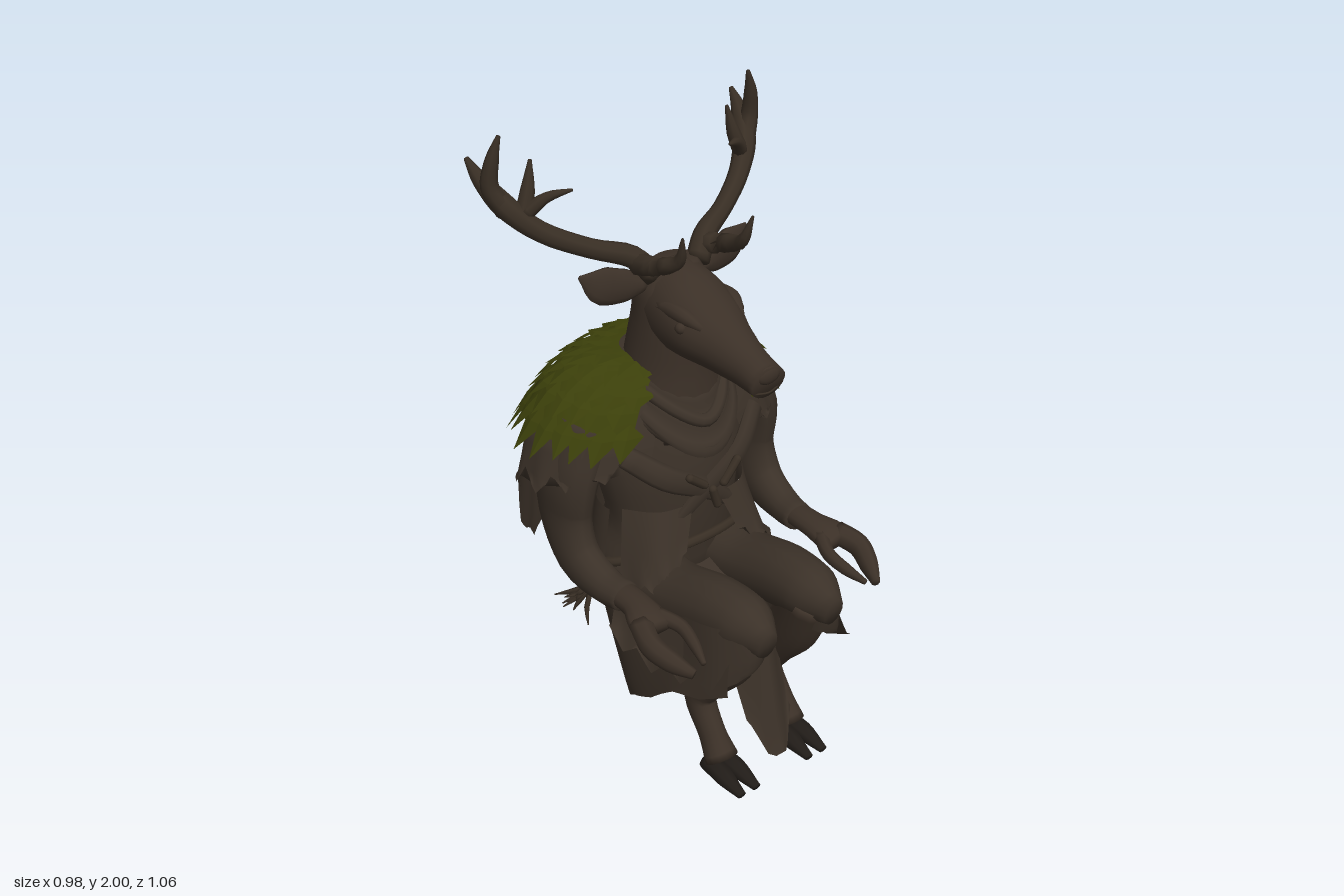
import * as THREE from 'three';
import { mergeVertices, mergeGeometries } from 'three/addons/utils/BufferGeometryUtils.js';

const mat = (name, color) => {
  const m = new THREE.MeshStandardMaterial({ color, side: THREE.DoubleSide });
  m.name = name;
  return m;
};
const V = (x, y, z) => new THREE.Vector3(x, y, z);
const lerp = THREE.MathUtils.lerp;
const spline = (pts) => new THREE.CatmullRomCurve3(pts.map((p) => V(...p)));
let seed = 7;
const rnd = () => (seed = (seed * 16807) % 2147483647) / 2147483647;
// triangle wave 0..1 for ragged hems
const zig = (u, n) => Math.abs(((u * n) % 1) * 2 - 1);

// surface from a function of (u, v)
function grid(nu, nv, fn) {
  const pos = [], idx = [];
  for (let j = 0; j <= nv; j++)
    for (let i = 0; i <= nu; i++) pos.push(...fn(i / nu, j / nv).toArray());
  for (let j = 0; j < nv; j++)
    for (let i = 0; i < nu; i++) {
      const a = j * (nu + 1) + i, b = a + nu + 1;
      idx.push(a, a + 1, b, a + 1, b + 1, b);
    }
  const g = new THREE.BufferGeometry();
  g.setAttribute('position', new THREE.Float32BufferAttribute(pos, 3));
  g.setIndex(idx);
  const m = mergeVertices(g, 1e-5);
  m.computeVertexNormals();
  return m;
}

// closed organic form through sections [x, y, z, radiusA, radiusB]
function limb(sections, s = 1, ref = V(1, 0, 0), sides = 14, steps = 4) {
  const path = spline(sections.map((p) => [p[0] * s, p[1], p[2]]));
  const rad = spline(sections.map((p) => [p[3], p[4] ?? p[3], 0]));
  const n = (sections.length - 1) * steps;
  return grid(sides, n + 2, (u, v) => {
    const k = Math.round(v * (n + 2));
    const t = THREE.MathUtils.clamp((k - 1) / n, 0, 1);
    const open = k === 0 || k === n + 2 ? 0 : 1;
    const d = path.getTangent(t), r = rad.getPoint(t);
    const a = ref.clone().addScaledVector(d, -ref.dot(d)).normalize();
    const b = d.clone().cross(a);
    const th = u * Math.PI * 2;
    return path.getPoint(t)
      .addScaledVector(a, Math.cos(th) * r.x * open)
      .addScaledVector(b, Math.sin(th) * r.y * open);
  });
}

// ruled cloth between two curves, with sag and a ragged lower edge
function cloth(top, bottom, nu, nv, teeth, depth, bulge = V(0, 0, 0)) {
  const A = spline(top), B = spline(bottom);
  return grid(nu, nv, (u, v) => {
    const p = A.getPoint(u).lerp(B.getPoint(u), v);
    p.addScaledVector(bulge, Math.sin(v * Math.PI));
    if (v === 1) p.y += zig(u, teeth) * depth;
    return p;
  });
}

// shoulder surface: a = angle from the back, t = neck (0) to hem (1)
const soft = (x) => Math.sign(x) * Math.abs(x) ** 0.9;
function mantle(a, t, out = 0) {
  const rx = 0.12 + 0.305 * t + out, rz = 0.1 + 0.15 * t + out, c = soft(Math.cos(a));
  const droop = Math.max(0, -c) * 0.16 * t * (1.15 - t);
  return V(soft(Math.sin(a)) * rx, 1.29 - 0.2 * t ** 2.8 - droop + out * 0.6, lerp(-0.15, -0.21, t) - c * rz);
}

export function createModel() {
  const fur = mat('brown fur', 0x3b3027);
  const wool = mat('brown cloth', 0x3b3128);
  const leaf = mat('moss green', 0x3b3f0a);
  const horn = mat('antler brown', 0x382e24);
  const dark = mat('dark hoof', 0x211c18);
  const root = new THREE.Group();
  root.name = 'seatedStagFigure';
  const add = (name, geo, m) => {
    const mesh = new THREE.Mesh(geo, m);
    mesh.name = name;
    root.add(mesh);
  };
  const Z = V(0, 0, 1);

  // head and neck
  add('neck', limb([[0, 1.05, -0.1, 0.19, 0.16], [0, 1.25, -0.1, 0.14, 0.15], [0, 1.4, -0.085, 0.122, 0.135], [0, 1.51, -0.085, 0.115, 0.11], [0, 1.585, -0.08, 0.075, 0.055]], 1, V(1, 0, 0), 18), fur);
  add('head', limb([[0, 1.49, -0.17, 0.06, 0.05], [0, 1.475, -0.11, 0.11, 0.125], [0, 1.45, -0.02, 0.122, 0.132],
    [0, 1.425, 0.08, 0.118, 0.108], [0, 1.4, 0.17, 0.085, 0.085], [0, 1.375, 0.27, 0.062, 0.062], [0, 1.36, 0.345, 0.06, 0.05]], 1, V(1, 0, 0), 18), fur);
  add('nose', new THREE.SphereGeometry(0.035, 12, 8).scale(1.2, 0.8, 0.4).translate(0, 1.385, 0.345), fur);
  add('mouth', limb([[-0.05, 1.335, 0.335, 0.003], [0, 1.33, 0.347, 0.003], [0.05, 1.335, 0.335, 0.003]], 1, Z, 6), horn);

  // antler branches: beam, upper tips and brow tine
  const antler = [
    [[0.08, 1.56, -0.07, 0.036], [0.13, 1.62, -0.1, 0.034], [0.24, 1.66, -0.15, 0.029], [0.36, 1.72, -0.22, 0.031], [0.43, 1.79, -0.28, 0.036], [0.465, 1.86, -0.35, 0.024], [0.475, 1.91, -0.4, 0.007]],
    [[0.43, 1.78, -0.28, 0.032], [0.465, 1.85, -0.3, 0.027], [0.46, 1.93, -0.29, 0.02], [0.44, 2.0, -0.28, 0.006]],
    [[0.4, 1.75, -0.25, 0.026], [0.37, 1.83, -0.26, 0.021], [0.35, 1.915, -0.27, 0.005]],
    [[0.39, 1.77, -0.25, 0.024], [0.34, 1.82, -0.21, 0.016], [0.28, 1.84, -0.17, 0.004]],
    [[0.12, 1.6, -0.09, 0.034], [0.13, 1.63, 0.01, 0.028], [0.115, 1.67, 0.09, 0.019], [0.125, 1.75, 0.12, 0.004]],
  ];
  for (const s of [1, -1]) {
    const side = s > 0 ? 'left' : 'right';
    add(side + 'Antler', mergeGeometries(antler.map((b) => limb(b, s, V(0.1, 0.3, 0.95).normalize(), 8))), horn);
    add(side + 'Ear', limb([[0.1, 1.53, -0.09, 0.02, 0.02], [0.16, 1.54, -0.1, 0.025, 0.05], [0.23, 1.555, -0.11, 0.02, 0.058], [0.305, 1.6, -0.12, 0.003, 0.005]], s, Z, 10), fur);
    add(side + 'Eyelid', new THREE.SphereGeometry(0.018, 10, 8).translate(s * 0.105, 1.46, 0.085), fur);
    add(side + 'Brow', limb([[0.095, 1.49, -0.02, 0.02], [0.092, 1.493, 0.07, 0.024], [0.07, 1.465, 0.14, 0.012]], s, V(1, 0, 0), 10), fur);

    // arm and hand
    add(side + 'Sleeve', limb([[0.28, 1.12, -0.14, 0.1, 0.11], [0.35, 0.97, -0.15, 0.075, 0.12], [0.36, 0.82, -0.16, 0.062, 0.115], [0.365, 0.7, -0.09, 0.06, 0.09],
      [0.355, 0.655, 0.04, 0.055, 0.055], [0.345, 0.655, 0.12, 0.05, 0.046]], s), wool);
    add(side + 'Palm', limb([[0.348, 0.66, 0.08, 0.045, 0.035], [0.348, 0.66, 0.18, 0.048, 0.035], [0.36, 0.65, 0.25, 0.064, 0.034], [0.365, 0.64, 0.29, 0.06, 0.022]], s), fur);
    add(side + 'Fingers', limb([[0.385, 0.65, 0.25, 0.04, 0.034], [0.41, 0.63, 0.33, 0.034, 0.038], [0.39, 0.605, 0.4, 0.03, 0.034], [0.36, 0.585, 0.465, 0.014, 0.016]], s, V(1, 0, 0), 8), fur);
    add(side + 'Thumb', limb([[0.33, 0.655, 0.24, 0.026, 0.026], [0.293, 0.64, 0.32, 0.021, 0.022], [0.3, 0.62, 0.39, 0.018, 0.02], [0.32, 0.6, 0.46, 0.008, 0.009]], s, V(1, 0, 0), 8), fur);

    // leg
    add(side + 'Thigh', limb([[0.14, 0.57, -0.15, 0.13, 0.12], [0.14, 0.575, 0.1, 0.105, 0.095], [0.135, 0.62, 0.3, 0.098, 0.1], [0.13, 0.63, 0.42, 0.09, 0.092], [0.13, 0.61, 0.52, 0.035, 0.05]], s), wool);
    add(side + 'KneeCuff', cloth([[s * 0.05, 0.66, 0.42], [s * 0.11, 0.67, 0.5], [s * 0.17, 0.66, 0.49], [s * 0.228, 0.64, 0.38], [s * 0.235, 0.6, 0.2]],
      [[s * 0.06, 0.5, 0.4], [s * 0.11, 0.52, 0.48], [s * 0.18, 0.46, 0.48], [s * 0.25, 0.43, 0.4], [s * 0.265, 0.42, 0.2]], 16, 4, 2, 0.03, V(0, 0, 0.01)), wool);
    add(side + 'LowerLeg', limb([[0.125, 0.63, 0.42, 0.08, 0.09], [0.13, 0.47, 0.35, 0.07, 0.09], [0.13, 0.34, 0.255, 0.056, 0.078], [0.135, 0.235, 0.215, 0.047, 0.06],
      [0.14, 0.13, 0.28, 0.042, 0.048], [0.14, 0.055, 0.33, 0.055, 0.052]], s), fur);
    // cloven hoof
    for (const k of [-1, 1])
      add(side + 'Hoof', limb([[0.14 + k * 0.022, 0.03, 0.29, 0.034, 0.03], [0.14 + k * 0.028, 0.028, 0.37, 0.033, 0.028], [0.14 + k * 0.03, 0.013, 0.465, 0.016, 0.011]], s, V(1, 0, 0), 8), dark);

    // twig bundle at the hip
    const twigs = [];
    for (let i = 0; i < 10; i++) {
      const z = -0.19 + (rnd() - 0.5) * 0.2, y = 0.46 + (rnd() - 0.5) * 0.12;
      twigs.push(limb([[0.27, 0.51, -0.16, 0.01], [0.31, (0.49 + y) / 2, (z - 0.17) / 2, 0.009], [0.31 + rnd() * 0.05, y, z, 0.002]], s, V(1, 0, 0), 5, 2));
    }
    add(side + 'Twigs', mergeGeometries(twigs), horn);
    // crossed robe lapel
    add(side + 'Lapel', limb([[0.25, 1.05, 0.0, 0.02, 0.035], [0.14, 0.96, 0.062, 0.016, 0.04], [0, 0.88, 0.075, 0.012, 0.035], [-0.12, 0.78, 0.06, 0.01, 0.02]], s, Z, 8), wool);
    // robe front parted over the lap
    add(side + 'RobeFront', cloth([[s * 0.05, 0.84, 0.07], [s * 0.16, 0.84, 0.045], [s * 0.235, 0.84, -0.04]], [[s * 0.12, 0.66, 0.12], [s * 0.23, 0.6, 0.12], [s * 0.28, 0.56, 0.0]], 12, 4, 3, 0.05), wool);
    // side tatters under the lap
    add(side + 'Tatter', cloth([[s * 0.28, 0.56, -0.02], [s * 0.27, 0.57, 0.12], [s * 0.235, 0.57, 0.3]], [[s * 0.34, 0.43, 0.02], [s * 0.3, 0.38, 0.18], [s * 0.255, 0.4, 0.34]], 12, 3, 3, 0.06), wool);
  }

  // robe body
  add('torso', limb([[0, 0.48, -0.15, 0.24, 0.15], [0, 0.62, -0.14, 0.25, 0.175], [0, 0.76, -0.105, 0.225, 0.16], [0, 0.92, -0.11, 0.255, 0.17], [0, 1.08, -0.12, 0.27, 0.15], [0, 1.2, -0.13, 0.16, 0.11]], 1, V(1, 0, 0), 24), wool);
  add('tunicBack', grid(40, 4, (u, v) => {
    const a = lerp(-1.7, 1.7, u), r = 1 + v * 0.14;
    return V(Math.sin(a) * 0.25 * r, 0.82 - v * 0.22 + (v === 1 ? zig(u, 10) * 0.05 : 0), -0.11 - Math.cos(a) * 0.185 * r);
  }), wool);
  add('belt', new THREE.TorusGeometry(0.28, 0.016, 8, 40).rotateX(Math.PI / 2).scale(1, 1, 0.7).rotateX(-0.35).translate(0, 0.62, -0.13), horn);

  // draped cowl with soft folds
  add('cowl', grid(40, 8, (u, v) => {
    const a = u * Math.PI * 2, front = Math.max(0, -Math.cos(a)) ** 1.6;
    const r = 0.13 + 0.07 * v + 0.008 * Math.sin(v * 17);
    return V(Math.sin(a) * r, 1.27 - 0.09 * v - front * (0.07 + 0.1 * v), -0.1 - Math.cos(a) * (r + 0.012) + front * 0.005);
  }), wool);
  for (const [drop, w, r] of [[0, 0.145, 0.022], [0.08, 0.18, 0.024]]) {
    const ring = new THREE.CatmullRomCurve3([V(0, 1.27, -0.24), V(w, 1.25 - drop * 0.6, -0.1), V(w * 0.65, 1.17 - drop, 0.025), V(0, 1.12 - drop, 0.075 + drop * 0.15),
      V(-w * 0.65, 1.17 - drop, 0.025), V(-w, 1.25 - drop * 0.6, -0.1)], true);
    add('cowlFold', new THREE.TubeGeometry(ring, 48, r, 8, true), wool);
  }
  // bone toggles
  [[-0.05, 0.93, 0.9, 0.07], [0.08, 0.92, -0.7, 0.08], [0.02, 0.85, 0.3, 0.06]].forEach(([x, y, a, len]) =>
    add('toggle', new THREE.CapsuleGeometry(0.014, len, 4, 8).rotateZ(a).translate(x, y, 0.092), horn));

  // skirt wrapping knees and back
  const mirror = (h) => [...h, ...h.slice(0, -1).reverse().map(([x, y, z]) => [-x, y, z])];
  add('skirt', cloth(mirror([[-0.2, 0.6, 0.45], [-0.24, 0.58, 0.15], [-0.27, 0.6, -0.12], [-0.19, 0.64, -0.28], [0, 0.65, -0.32]]),
    mirror([[-0.245, 0.43, 0.48], [-0.27, 0.3, 0.22], [-0.25, 0.145, 0.0], [-0.15, 0.13, -0.09], [0, 0.12, -0.115]]), 72, 8, 9, 0.02, V(0, 0, -0.012)), wool);
  // trailing back panel, curled round at its sides
  add('backTail', cloth([[-0.17, 0.32, -0.08], [-0.12, 0.32, -0.18], [0, 0.32, -0.21], [0.12, 0.32, -0.18], [0.17, 0.32, -0.08]],
    [[-0.06, 0.0, -0.07], [-0.04, 0, -0.1], [0, 0, -0.11], [0.04, 0, -0.1], [0.06, 0.0, -0.07]], 16, 6, 4, 0.01), wool);
  add('lapCloth', cloth([[-0.12, 0.61, 0.03], [0, 0.59, 0.05], [0.12, 0.61, 0.03]], [[-0.1, 0.47, 0.28], [0, 0.5, 0.36], [0.1, 0.47, 0.28]], 8, 4, 1, 0), wool);
  add('frontCloth', cloth([[-0.1, 0.47, 0.28], [0, 0.5, 0.36], [0.1, 0.47, 0.28]], [[-0.08, 0.16, 0.4], [0, 0.05, 0.46], [0.08, 0.16, 0.4]], 8, 6, 2, 0.04), wool);

  // cape: short over the shoulders, long down the back with a centre ridge
  const reach = 2.8;
  add('cape', grid(96, 10, (u, v) => {
    const a = lerp(-reach, reach, u), k = Math.abs(a);
    const t = THREE.MathUtils.smoothstep(k, 0.85, 1.4);
    const low = lerp(0.47 + k * 0.12, 0.92 + Math.max(0, k - 1.6) * 0.06, t);
    const p = mantle(a, Math.min(1, v * 2.5), -0.008);
    const d = Math.max(0, (v - 0.4) / 0.6);
    const fold = 1 + 0.01 * Math.cos(a * 18) * d;
    p.x *= (1 + (0.04 + 0.08 * t) * d) * fold;
    p.z = -0.21 + (p.z + 0.21) * (1 + (0.22 * (1 - t) + 0.03) * d) * fold - 0.015 * Math.exp(-a * a * 10) * d;
    p.y = lerp(p.y, low, d);
    if (v === 1) p.y += zig(u + 1 / 32, 16) * (0.04 + 0.04 * Math.abs(Math.sin(u * 37)));
    return p;
  }), wool);

  // leaf mantle: base layer and overlapping rows of broad pointed leaves
  const span = 2.6;
  add('mantleBase', grid(48, 8, (u, v) => mantle(lerp(-span, span, u), v * 0.97, 0.006)), leaf);
  const pos = [];
  const rows = 5;
  for (let r = 0; r < rows; r++) {
    const t0 = 0.05 + (r / rows) * 0.95, count = 13 + r * 3;
    for (let i = 0; i < count; i++) {
      const a = lerp(-span, span, (i + 0.25 + (r % 2) * 0.5) / count);
      const w = (3.3 / count) * (0.9 + rnd() * 0.3), len = 0.23 + rnd() * 0.06;
      const P = (da, dt, out) => mantle(a + da * w, t0 + dt * len, out).toArray();
      const top = P(0, 0, 0.01), L = P(-1, 0.4, 0.012), R = P(1, 0.4, 0.012), mid = P(0, 0.45, 0.018), tip = P((rnd() - 0.5) * 0.4, 1, 0.024);
      for (const tri of [[top, mid, L], [top, R, mid], [L, mid, tip], [mid, R, tip]]) pos.push(...tri.flat());
    }
  }
  const leaves = new THREE.BufferGeometry();
  leaves.setAttribute('position', new THREE.Float32BufferAttribute(pos, 3));
  // turn every leaf face outward
  const pa = leaves.attributes.position, c = [V(), V(), V()];
  for (let i = 0; i < pa.count; i += 3) {
    c.forEach((q, k) => q.fromBufferAttribute(pa, i + k));
    const n = c[1].clone().sub(c[0]).cross(c[2].clone().sub(c[0]));
    if (n.dot(c[0].clone().sub(V(0, 0.95, -0.2))) < 0) {
      pa.setXYZ(i + 1, ...c[2].toArray());
      pa.setXYZ(i + 2, ...c[1].toArray());
    }
  }
  leaves.computeVertexNormals();
  add('mantleLeaves', leaves, leaf);

  return root;
}
